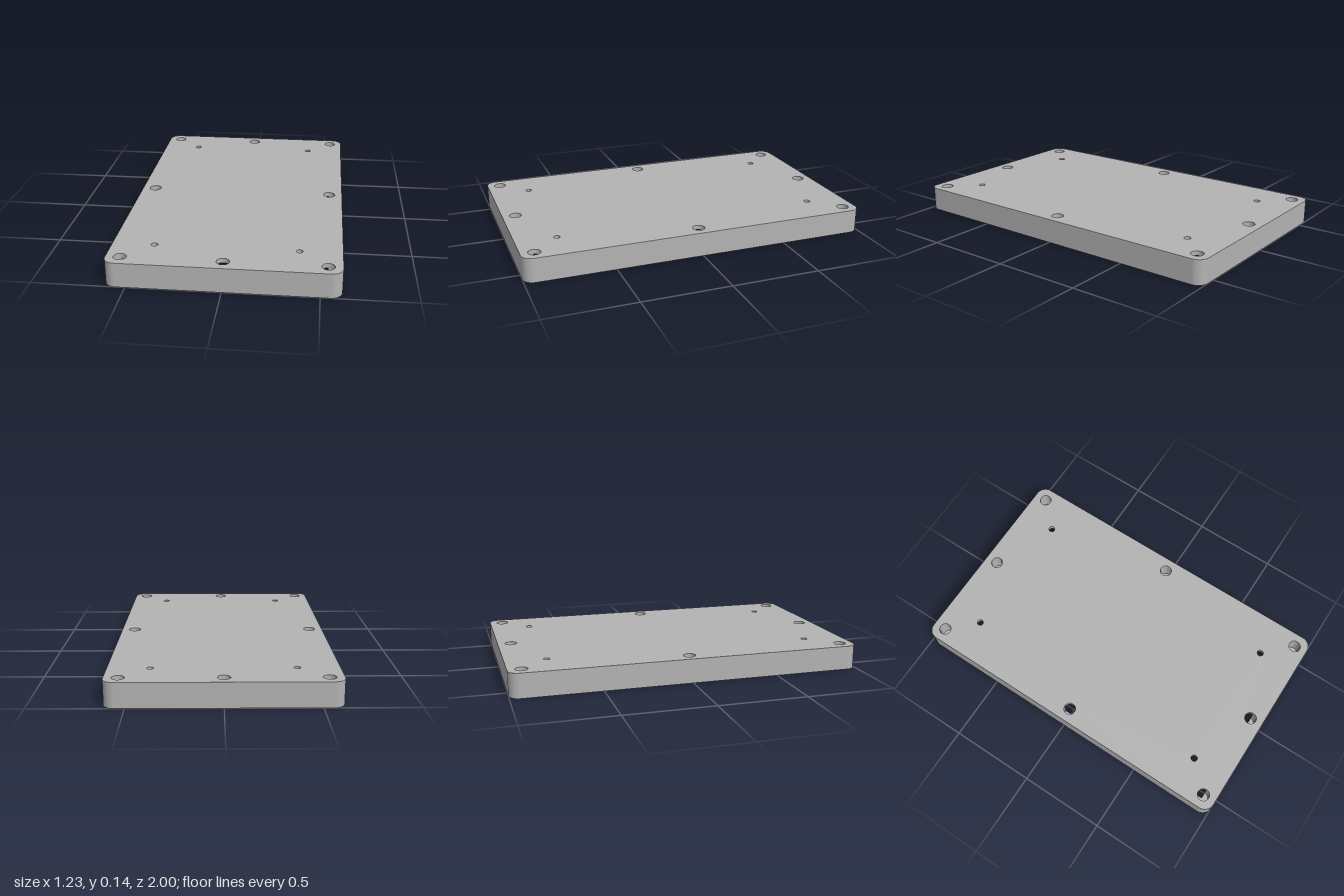
import * as THREE from 'three';
import { toCreasedNormals } from 'three/addons/utils/BufferGeometryUtils.js';

const HX = 0.6125, HZ = 1, HEIGHT = 0.138;   // outer half sizes and height
const CORNER = 0.06;                          // outer corner radius
const WALL = 0.076;                           // wall thickness
const CX = HX - WALL, CZ = HZ - WALL;         // cavity half sizes
const SCREW_R = 0.0345, PIN_R = 0.0185;
const GROOVE_TOP = 0.02, POCKET_FLOOR = 0.026, CEILING = 0.112;

// Rounded rectangle inset from the outer edge
function roundedRect(inset, Type = THREE.Path) {
  const x = HX - inset, z = HZ - inset, r = Math.max(CORNER - inset, 0.012);
  const path = new Type();
  [[1, 1], [-1, 1], [-1, -1], [1, -1]].forEach(([sx, sz], i) =>
    path.absarc(sx * (x - r), sz * (z - r), r, i * Math.PI / 2, (i + 1) * Math.PI / 2, false));
  path.closePath();
  return path;
}

function rect(x, z, Type = THREE.Path) {
  return new Type([[x, z], [-x, z], [-x, -z], [x, -z]].map(p => new THREE.Vector2(...p)));
}

function circle(x, z, r) {
  return new THREE.Path().absarc(x, z, r, 0, Math.PI * 2, false);
}

// Cavity outline with the screw pockets cut into its walls; angles in quarter turns
function pocketedCavity() {
  const path = new THREE.Path();
  [
    [CX, 0, -1, 1], [CX, CZ, -1, 2], [0, CZ, 0, 2], [-CX, CZ, 0, 3],
    [-CX, 0, 1, 3], [-CX, -CZ, 1, 4], [0, -CZ, 2, 4], [CX, -CZ, 2, 5],
  ].forEach(([x, z, a, b]) =>
    path.absarc(x, z, SCREW_R, a * Math.PI / 2, b * Math.PI / 2, false));
  path.closePath();
  return path;
}

export function createModel() {
  const group = new THREE.Group();
  group.name = 'coverPlate';
  const grey = new THREE.MeshStandardMaterial({ color: 0xb3b3b3 });
  grey.name = 'grey';

  // Upright slab of a shape with holes, between two heights
  function slab(name, shape, holes, y0, y1) {
    shape.holes.push(...holes);
    let geo = new THREE.ExtrudeGeometry(shape, { depth: y1 - y0, bevelEnabled: false, curveSegments: 20 });
    geo.rotateX(-Math.PI / 2).translate(0, y0, 0);
    geo = toCreasedNormals(geo, Math.PI / 6);
    const mesh = new THREE.Mesh(geo, grey);
    mesh.name = name;
    group.add(mesh);
  }

  // Bottom rim, divided by the seal groove
  slab('outerRim', roundedRect(0, THREE.Shape), [roundedRect(0.033)], 0, GROOVE_TOP);
  slab('innerRim', roundedRect(0.054, THREE.Shape), [rect(CX, CZ)], 0, GROOVE_TOP);

  // Solid band that closes the groove and the screw pockets
  slab('pocketFloor', roundedRect(0, THREE.Shape), [rect(CX, CZ)], GROOVE_TOP, POCKET_FLOOR);

  // Side walls with screw pockets
  slab('sideWalls', roundedRect(0, THREE.Shape), [pocketedCavity()], POCKET_FLOOR, CEILING);

  // Top plate with eight screw holes and four pin holes
  const holes = [];
  for (const i of [-1, 0, 1]) for (const j of [-1, 0, 1]) {
    if (i || j) holes.push(circle(i * CX, j * CZ, SCREW_R));
    if (i && j) holes.push(circle(i * 0.385, j * 0.77, PIN_R));
  }
  slab('topPlate', roundedRect(0, THREE.Shape), holes, CEILING, HEIGHT);

  return group;
}
